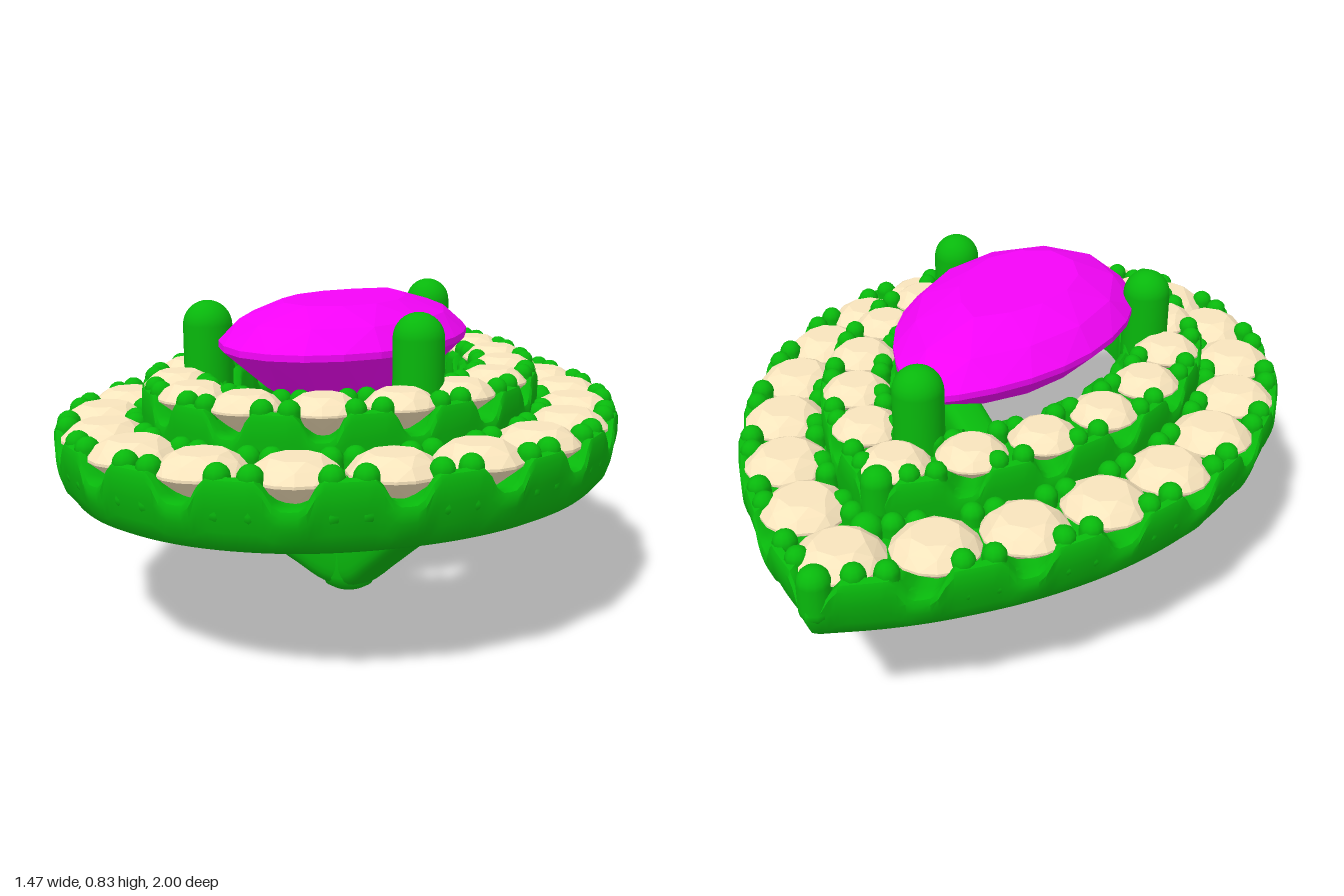
import * as THREE from 'three';
import { toCreasedNormals } from 'three/addons/utils/BufferGeometryUtils.js';
import { ConvexGeometry } from 'three/addons/geometries/ConvexGeometry.js';

const V = (x, y, z) => new THREE.Vector3(x, y, z);

// Pear outline: tip at the back, down the left side, round the front, back up the right
const half = [[0, -1], [0.14, -0.91], [0.265, -0.81], [0.435, -0.635], [0.58, -0.425], [0.68, -0.2], [0.725, 0],
  [0.737, 0.18], [0.715, 0.37], [0.635, 0.585], [0.485, 0.785], [0.26, 0.945], [0, 1]];
const mirrored = half.slice(0, -1).reverse().map(([x, z]) => [-x, z]);
const outline = new THREE.CatmullRomCurve3([...half, ...mirrored].map(([x, z]) => V(x, 0, z)));
outline.arcLengthDivisions = 800;

// Point on the outline moved inwards by d, at height y
function pear(u, d, y) {
  const p = outline.getPointAt(Math.min(1, Math.max(0, u)));
  return V(p.x * (1 - d / 0.737), y, p.z * (1 - 1.15 * d) + 0.15 * d);
}

// Surface through rows of points
function skin(rows, crease = 0.7) {
  const n = rows[0].length, index = [];
  for (let i = 0; i < rows.length - 1; i++) {
    for (let j = 0; j < n - 1; j++) {
      const a = i * n + j, b = a + n;
      index.push(a, a + 1, b, a + 1, b + 1, b);
    }
  }
  const g = new THREE.BufferGeometry().setFromPoints(rows.flat());
  g.setIndex(index);
  return toCreasedNormals(g, crease);
}

// Round brilliant: table, crown, girdle and point
function roundGem(r) {
  const pts = [V(0, -0.8 * r, 0)];
  const ring = (n, rad, y, turn) => {
    for (let i = 0; i < n; i++) {
      const a = ((i + turn) / n) * Math.PI * 2;
      pts.push(V(rad * Math.cos(a), y, rad * Math.sin(a)));
    }
  };
  ring(8, 0.55 * r, 0.4 * r, 0);
  ring(8, 0.82 * r, 0.24 * r, 0.5);
  ring(16, r, 0.02 * r, 0);
  ring(16, r, -0.04 * r, 0);
  ring(8, 0.55 * r, -0.42 * r, 0.5);
  return new ConvexGeometry(pts);
}

export function createModel() {
  const model = new THREE.Group();
  const metal = new THREE.MeshStandardMaterial({ color: 0x08b80c });
  const pale = new THREE.MeshStandardMaterial({ color: 0xf8e4bc, flatShading: true });
  const magenta = new THREE.MeshStandardMaterial({ color: 0xf404f8, flatShading: true });
  const add = (parent, name, geo, mat, pos) => {
    const m = new THREE.Mesh(geo, mat);
    m.name = name;
    if (pos) m.position.copy(pos);
    parent.add(m);
    return m;
  };

  // Scalloped halo with a row of stones held by pairs of beads
  function halo(name, { d, width, gemLine, bottom, top, count, gem, bead, taper }) {
    const group = new THREE.Group();
    group.name = name;
    const rows = [], steps = count * 14;
    for (let i = 0; i <= steps; i++) {
      const u = i / steps;
      const c = THREE.MathUtils.smoothstep(Math.abs(Math.cos(Math.PI * u * count)), 0.66, 1);
      const rim = top - 0.028 - 0.065 * c, mid = top - 0.055 - 0.04 * c, h = rim - bottom;
      const section = [
        [taper + 0.02, bottom], [taper, bottom + 0.01], [taper * 0.45, bottom + h * 0.3],
        [taper * 0.12, bottom + h * 0.62], [0, rim - 0.02], [0.006, rim - 0.005], [0.022, rim], [0.045, mid],
        [width - 0.045, mid], [width - 0.02, rim], [width - 0.005, rim - 0.008], [width, rim - 0.02],
        [width, bottom + 0.012], [width - 0.012, bottom], [taper + 0.02, bottom]];
      rows.push(section.map(([off, y]) => pear(u, d + off, y)));
    }
    add(group, name + 'Band', skin(rows), metal);

    const gemGeo = roundGem(gem), beadGeo = new THREE.CapsuleGeometry(bead, 0.08, 4, 10);
    const beadY = top - bead - 0.04;
    for (let i = 0; i < count; i++) {
      const u = i / count;
      const stone = add(group, 'haloStone', gemGeo, pale, pear(u, d + gemLine, top - 0.4 * gem));
      stone.rotation.y = Math.PI / 8 + i * 0.4;
      for (const off of [bead + 0.006, 2 * gemLine - bead - 0.006]) {
        for (const side of [-1, 1]) {
          add(group, 'bead', beadGeo, metal, pear(u + (0.5 + side * 0.15) / count, d + off, beadY));
        }
      }
    }
    // Larger beads at the pointed end
    const tipGeo = new THREE.CapsuleGeometry(0.042, 0.07, 5, 14);
    for (const off of [0.036, 2 * gemLine - 0.03]) {
      add(group, 'tipBead', tipGeo, metal, pear(0, d + off, top - 0.077));
    }
    model.add(group);
  }
  halo('outerHalo', {
    d: 0, width: 0.25, gemLine: 0.123, bottom: 0.352, top: 0.56, count: 20, gem: 0.112, bead: 0.031, taper: 0.04 });
  halo('innerHalo', {
    d: 0.225, width: 0.225, gemLine: 0.1, bottom: 0.46, top: 0.66, count: 16, gem: 0.092, bead: 0.028, taper: 0.01 });

  // Pear-cut centre stone: [scale, height, samples, sample shift]
  const pts = [V(0, 0.47, 0.14)];
  for (const [s, y, n, shift] of [[1, 0.735, 24, 0], [1, 0.718, 24, 0], [0.83, 0.79, 12, 0.5],
    [0.5, 0.832, 12, 0], [0.62, 0.6, 12, 0.5]]) {
    for (let i = 0; i < n; i++) {
      const p = pear((i + shift) / n, 0.43, y);
      pts.push(V(p.x * s, y, 0.16 + (p.z - 0.16) * s));
    }
  }
  add(model, 'centreStone', new ConvexGeometry(pts), magenta);

  // Three prongs rising from the arms to grip the centre stone
  const prong = new THREE.CapsuleGeometry(0.066, 0.36, 8, 24);
  for (const [x, z] of [[0, -0.45], [-0.308, 0.35], [0.308, 0.35]]) {
    add(model, 'prong', prong, metal, V(x, 0.585, z));
  }

  // Under-gallery arms from the hub: [distance, lower height, upper height]
  const hub = V(0, 0, 0.12);
  function arm(name, dx, dz, halfWidth, stations) {
    const rows = [];
    const len = Math.hypot(dx, dz), tx = dx / len, tz = dz / len;
    const path = new THREE.CatmullRomCurve3(stations.map(([s, a, b]) => V(s, a, b)));
    for (let i = 0; i <= 24; i++) {
      const { x: s, y: lo, z: hi } = path.getPoint(i / 24);
      const row = [];
      for (let j = 0; j <= 24; j++) {
        const a = (j / 24) * Math.PI * 2, c = Math.cos(a), q = Math.sin(a);
        const w = halfWidth * Math.sign(c) * Math.abs(c) ** 0.6;
        const h = Math.sign(q) * Math.abs(q) ** 0.6;
        row.push(V(hub.x + tx * s + tz * w, (lo + hi) / 2 + (h * (hi - lo)) / 2, hub.z + tz * s - tx * w));
      }
      rows.push(row);
    }
    add(model, name, skin(rows, 1), metal);
  }
  arm('backArm', 0, -1, 0.068,
    [[0, 0.005, 0.21], [0.06, 0.02, 0.21], [0.13, 0.075, 0.215], [0.26, 0.165, 0.27], [0.42, 0.235, 0.335],
      [0.7, 0.318, 0.41], [0.98, 0.352, 0.45]]);
  const front = [[0, 0.005, 0.21], [0.07, 0.025, 0.215], [0.16, 0.09, 0.26], [0.32, 0.205, 0.35],
    [0.5, 0.295, 0.42], [0.66, 0.352, 0.45]];
  arm('leftArm', 0.6, 0.33, 0.068, front);
  arm('rightArm', -0.6, 0.33, 0.068, front);

  // Rounded hub where the arms meet
  const hubProfile = [[0, 0], [0.045, 0.002], [0.068, 0.015], [0.08, 0.045], [0.078, 0.12], [0.07, 0.21], [0, 0.21]];
  const hubGeo = new THREE.LatheGeometry(hubProfile.map(([x, y]) => new THREE.Vector2(x, y)), 32);
  add(model, 'hub', toCreasedNormals(hubGeo, 0.8), metal, hub);

  return model;
}
